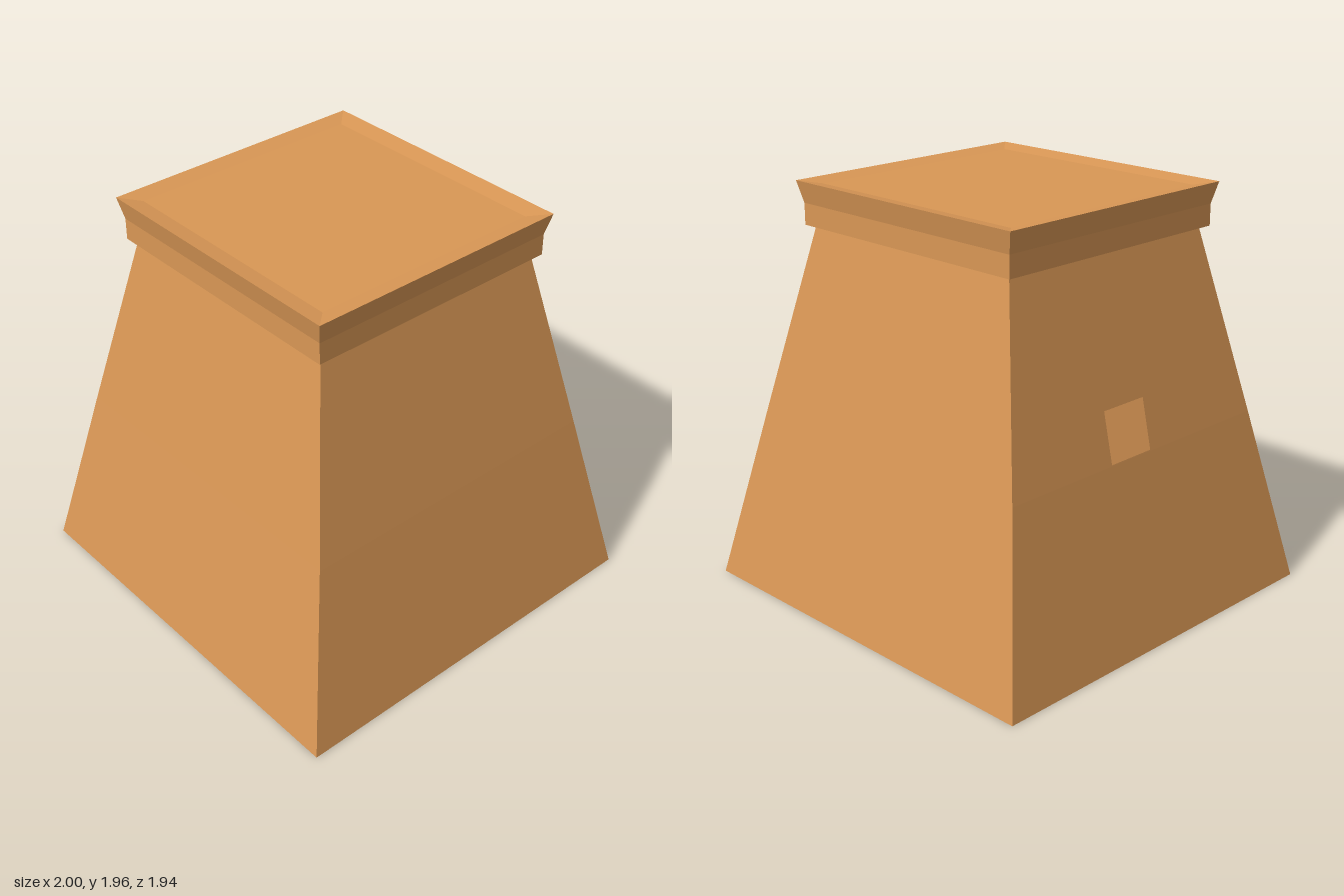
import * as THREE from 'three';

const clay = new THREE.MeshStandardMaterial({ color: 0xd99755, side: THREE.DoubleSide, flatShading: true });
clay.name = 'clay orange';

// Body profile, each row: half width, height, half depth
const base = [1, 0, 0.972], bend = [0.82, 0.86, 0.792], neck = [0.62, 1.755, 0.61];

const ringCorners = ([w, y, d]) => [[w, y, d], [w, y, -d], [-w, y, -d], [-w, y, d]];

// Skin a stack of rectangular rings; sides: 0 = +x, 1 = -z, 2 = -x, 3 = +z
function loft(rings, sides = [0, 1, 2, 3]) {
  const pos = [];
  for (let r = 0; r < rings.length - 1; r++) {
    const a = ringCorners(rings[r]), b = ringCorners(rings[r + 1]);
    for (const s of sides) {
      const t = (s + 1) % 4;
      pos.push(...a[s], ...a[t], ...b[t], ...a[s], ...b[t], ...b[s]);
    }
  }
  const geo = new THREE.BufferGeometry();
  geo.setAttribute('position', new THREE.Float32BufferAttribute(pos, 3));
  geo.computeVertexNormals();
  return geo;
}

// Upper -x wall: a flat outline with a window opening, leaned onto the slope
function piercedWall() {
  const shape = new THREE.Shape([
    new THREE.Vector2(-bend[2], bend[1]), new THREE.Vector2(bend[2], bend[1]),
    new THREE.Vector2(neck[2], neck[1]), new THREE.Vector2(-neck[2], neck[1]),
  ]);
  const [z0, z1, y0, y1] = [-0.18, 0.075, 0.865, 1.1];
  shape.holes.push(new THREE.Path([
    new THREE.Vector2(z0, y0), new THREE.Vector2(z0, y1),
    new THREE.Vector2(z1, y1), new THREE.Vector2(z1, y0),
  ]));
  const geo = new THREE.ShapeGeometry(shape);
  const p = geo.attributes.position;
  for (let i = 0; i < p.count; i++) {
    const z = p.getX(i), y = p.getY(i);
    const t = (y - bend[1]) / (neck[1] - bend[1]);
    p.setXYZ(i, -THREE.MathUtils.lerp(bend[0], neck[0], t), y, z);
  }
  geo.computeVertexNormals();
  return geo;
}

export function createModel() {
  const group = new THREE.Group();
  const add = (name, geo) => {
    const mesh = new THREE.Mesh(geo, clay);
    mesh.name = name;
    group.add(mesh);
    return mesh;
  };

  // Hollow tapered body, open underneath
  add('lowerWalls', loft([base, bend]));
  add('upperWalls', loft([bend, neck], [0, 1, 3]));
  add('windowWall', piercedWall());

  // Collar: underside ledge, straight band, flared lip, shallow dished edge
  const dish = [0.6, 1.945, 0.58];
  add('collar', loft([
    neck, [0.657, 1.755, 0.645], [0.657, 1.857, 0.645], [0.683, 1.96, 0.667], dish,
  ]));
  const roof = add('roof', new THREE.PlaneGeometry(2 * dish[0], 2 * dish[2]).rotateX(-Math.PI / 2));
  roof.position.y = dish[1];

  return group;
}
